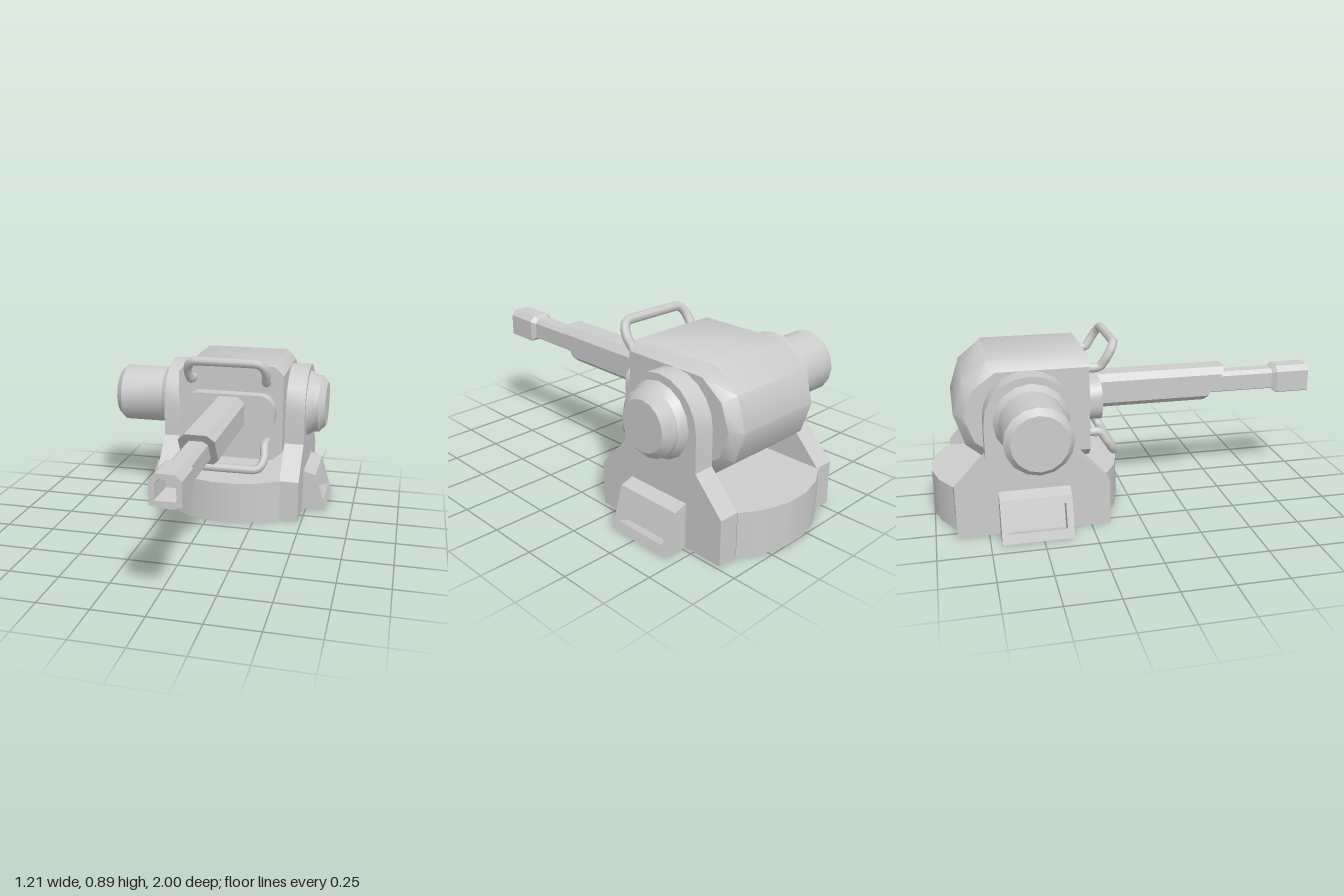
import * as THREE from 'three';
import { toCreasedNormals } from 'three/addons/utils/BufferGeometryUtils.js';

const CX = 0.0925, CZ = -0.525, AXIS_Y = 0.563;
const grey = new THREE.MeshStandardMaterial({ color: 0xcccccc });
const thin = new THREE.MeshStandardMaterial({ color: 0xcccccc, side: THREE.DoubleSide });

function add(parent, name, geometry, material = grey) {
  const mesh = new THREE.Mesh(geometry, material);
  mesh.name = name;
  parent.add(mesh);
  return mesh;
}

// Skin a row of equal-length rings and close both ends.
// Rings turn counter-clockwise about the direction in which they advance.
function loft(rings, crease = 0.3) {
  const pos = [];
  const tri = (...pts) => pts.forEach((p) => pos.push(...p));
  const n = rings[0].length;
  for (let r = 0; r < rings.length - 1; r++) {
    const a = rings[r], b = rings[r + 1];
    for (let i = 0; i < n; i++) {
      const j = (i + 1) % n;
      tri(a[i], a[j], b[j], a[i], b[j], b[i]);
    }
  }
  const cap = (ring, flip) => {
    const mid = [0, 1, 2].map((k) => ring.reduce((s, p) => s + p[k], 0) / n);
    ring.forEach((p, i) => {
      const q = ring[(i + 1) % n];
      flip ? tri(mid, q, p) : tri(mid, p, q);
    });
  };
  cap(rings[0], true);
  cap(rings[rings.length - 1], false);
  const geo = new THREE.BufferGeometry();
  geo.setAttribute('position', new THREE.Float32BufferAttribute(pos, 3));
  geo.computeVertexNormals();
  return toCreasedNormals(geo, crease);
}

// Square ring with cut corners, facing +z; zAt gives z from y
function barrelRing(cy, half, top, bottom, zAt) {
  const h = half, t = top, b = bottom;
  return [[h, b - h], [h, h - t], [h - t, h], [t - h, h], [-h, h - t], [-h, b - h], [b - h, -h], [h - b, -h]]
    .map(([x, y]) => [CX + 0.003 + x, cy + y, typeof zAt === 'function' ? zAt(cy + y) : zAt]);
}

// Turned part along x from [x, radius] points
function turned(points) {
  const geo = new THREE.LatheGeometry(points.map(([x, r]) => new THREE.Vector2(r, x)), 16);
  geo.rotateZ(-Math.PI / 2);
  geo.translate(0, AXIS_Y, CZ);
  return toCreasedNormals(geo, 0.5);
}

function buildBase(root) {
  const base = new THREE.Group();
  base.name = 'base';
  root.add(base);
  const R = 0.474, H = 0.222, half = THREE.MathUtils.degToRad(37.5);
  const outline = [];
  for (const start of [0, Math.PI]) {
    // open curved wall, front and back
    const wall = new THREE.CylinderGeometry(R, R, H, 5, 1, true, start - half, half * 2);
    wall.translate(CX, H / 2, -0.53);
    add(base, 'curvedWall', wall, thin);
    for (let i = 0; i <= 5; i++) {
      const a = start - half + (i * half * 2) / 5;
      outline.push(new THREE.Vector2(Math.sin(a) * R, -Math.cos(a) * R));
    }
  }
  const lid = new THREE.ShapeGeometry(new THREE.Shape(outline));
  lid.rotateX(-Math.PI / 2);
  lid.translate(CX, H, -0.53);
  add(base, 'deck', lid, thin);
}

function buildBrackets(root) {
  // outline as [z, y], running over the top from back to front
  const outline = [[-0.372, 0], [-0.372, 0.222], [-0.22, 0.385]];
  for (let i = 0; i <= 10; i++) {
    const a = Math.PI - (i * Math.PI) / 10;
    outline.push([Math.cos(a) * 0.22, 0.558 + Math.sin(a) * 0.22]);
  }
  outline.push([0.22, 0.385], [0.372, 0.222], [0.372, 0]);
  const ring = (x) => outline.map(([z, y]) => [x, y, CZ - 0.003 + z]);

  // box with sloping face and recessed panel, for the +x side
  const rect = (xt, yt, xb, yb, hz) => [[xt, yt, -hz], [xt, yt, hz], [xb, yb, hz], [xb, yb, -hz]];
  const slopeX = (y) => 0.5125 - 0.3 * y;
  const step = loft([
    rect(0.385, 0.222, 0.385, 0, 0.172),
    rect(slopeX(0.2), 0.2, slopeX(0), 0, 0.172),
    rect(slopeX(0.165), 0.165, slopeX(0.045), 0.045, 0.14),
    rect(slopeX(0.165) - 0.058, 0.147, slopeX(0.045) - 0.058, 0.027, 0.14),
  ]);

  for (const [side, x0, x1, turn] of [['left', 0.377, 0.48, 0], ['right', -0.297, -0.192, Math.PI]]) {
    add(root, side + 'Bracket', loft([ring(x0), ring(x1)], 0.5));
    const box = add(root, side + 'SideBox', step);
    box.position.set(CX, 0, CZ);
    box.rotation.y = turn;
  }
}

function buildBody(root) {
  // side outline as [z, y offset], top edge first, then front, bottom and rounded back
  const profile = [[-0.71, 0.255], [-0.23, 0.255], [-0.23, -0.255], [-0.71, -0.255],
    [-0.83, -0.155], [-0.88, 0], [-0.83, 0.155]];
  const ring = (x, sy, sz) => profile.map(([z, y]) => [x, 0.566 + y * sy, -0.23 + (z + 0.23) * sz]);
  add(root, 'body', loft([
    ring(-0.19, 0.82, 0.93), ring(-0.137, 1, 1), ring(0.322, 1, 1), ring(0.375, 0.82, 0.93),
  ], 0.74));

  // rounded plate at the root of the barrel
  const w = 0.2475, h = 0.102, r = 0.085;
  const s = new THREE.Shape();
  s.absarc(w - r, h - r, r, 0, Math.PI / 2);
  s.absarc(r - w, h - r, r, Math.PI / 2, Math.PI);
  s.absarc(r - w, r - h, r, Math.PI, Math.PI * 1.5);
  s.absarc(w - r, r - h, r, Math.PI * 1.5, Math.PI * 2);
  const plate = new THREE.ExtrudeGeometry(s, { depth: 0.08, bevelEnabled: false, curveSegments: 4 });
  plate.translate(CX, 0.577, -0.24);
  add(root, 'frontPlate', toCreasedNormals(plate, 0.5));

  // pivot motor on one side, short cap on the other
  add(root, 'motor', turned([[-0.605, 0], [-0.605, 0.13], [-0.573, 0.158], [-0.335, 0.158], [-0.295, 0.182], [-0.295, 0]]));
  add(root, 'pivotCap', turned([[0.478, 0], [0.478, 0.182], [0.518, 0.158], [0.543, 0.158], [0.577, 0.122], [0.577, 0]]));
}

function buildBarrel(root) {
  const barrel = new THREE.Group();
  barrel.name = 'barrel';
  root.add(barrel);
  const slant = (y) => 0.42 + (y - 0.495) * 0.66;
  add(barrel, 'sleeve', loft([barrelRing(0.58, 0.086, 0.034, 0.026, -0.17), barrelRing(0.58, 0.086, 0.034, 0.026, slant)]));
  add(barrel, 'innerBarrel', loft([barrelRing(0.578, 0.052, 0.02, 0.004, 0.3), barrelRing(0.578, 0.052, 0.02, 0.004, 0.82)]));
  add(barrel, 'muzzle', loft([
    barrelRing(0.576, 0.052, 0.02, 0.004, 0.8),
    barrelRing(0.576, 0.07, 0.028, 0.004, 0.825),
    barrelRing(0.576, 0.07, 0.028, 0.004, 1),
    barrelRing(0.576, 0.046, 0.018, 0.003, 1),
    barrelRing(0.574, 0.034, 0.012, 0.003, 0.87),
  ]));
}

function buildHandles(root) {
  // half path as [x, y, z] from foot to bar, mirrored in x, then in y
  const half = [[0.2, 0.165, -0.24], [0.2, 0.165, -0.185], [0.2, 0.172, -0.16], [0.207, 0.215, -0.132],
    [0.2, 0.25, -0.11], [0.183, 0.273, -0.096], [0.15, 0.283, -0.09]];
  for (const [name, s] of [['upperHandle', 1], ['lowerHandle', -1]]) {
    const pts = [...half.map(([x, y, z]) => [-x, y, z]), ...half.slice().reverse()]
      .map(([x, y, z]) => new THREE.Vector3(CX + x, 0.58 + y * s, z));
    const curve = new THREE.CatmullRomCurve3(pts, false, 'catmullrom', 0.2);
    add(root, name, new THREE.TubeGeometry(curve, 48, 0.023, 8));
  }
}

export function createModel() {
  const root = new THREE.Group();
  root.name = 'mountedTurret';
  buildBase(root);
  buildBrackets(root);
  buildBody(root);
  buildBarrel(root);
  buildHandles(root);
  return root;
}
